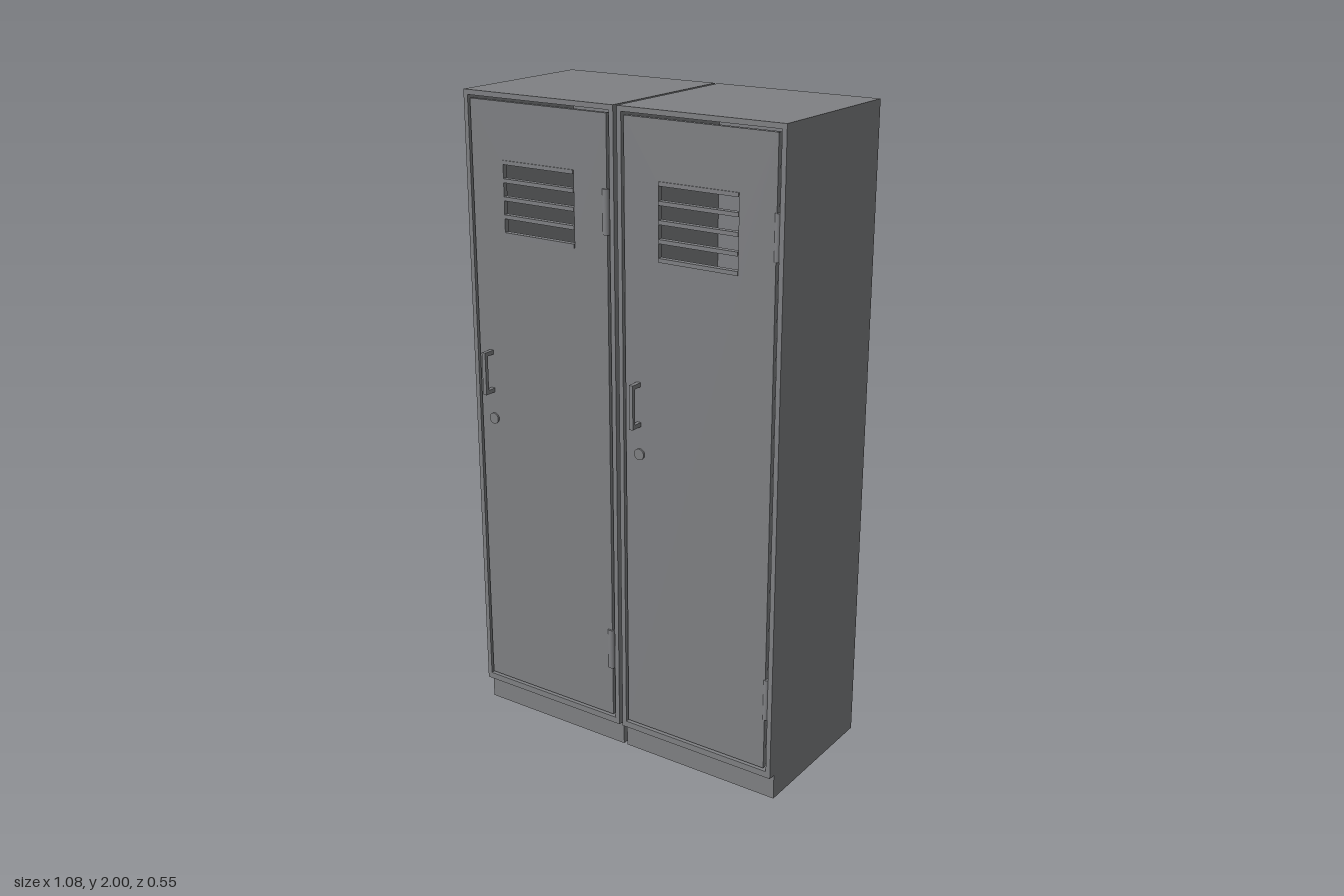
import * as THREE from 'three';

export function createModel() {
  const steel = new THREE.MeshStandardMaterial({ color: 0x808184 });
  steel.name = 'grey steel';

  const W = 0.534, BACK = -0.276, FRONT = 0.236, WALL = 0.0145;

  function add(parent, name, geometry) {
    const mesh = new THREE.Mesh(geometry, steel);
    mesh.name = name;
    parent.add(mesh);
    return mesh;
  }

  // Box given by its limits on each axis
  function box(parent, name, x0, x1, y0, y1, z0, z1) {
    const mesh = add(parent, name, new THREE.BoxGeometry(x1 - x0, y1 - y0, z1 - z0));
    mesh.position.set((x0 + x1) / 2, (y0 + y1) / 2, (z0 + z1) / 2);
    return mesh;
  }

  function rect(Type, x0, x1, y0, y1) {
    return new Type([[x0, y0], [x1, y0], [x1, y1], [x0, y1]].map(p => new THREE.Vector2(...p)));
  }

  // Upright sheet with holes whose outer face lies at FRONT
  function sheet(parent, name, shape, depth) {
    const mesh = add(parent, name, new THREE.ExtrudeGeometry(shape, { depth, bevelEnabled: false }));
    mesh.position.z = FRONT - depth;
  }

  function createLocker(name, hingeX, hingeRadius, hingeZ) {
    const locker = new THREE.Group();
    locker.name = name;
    const h = W / 2, inner = h - WALL, wallFront = FRONT - 0.02;

    // Hollow cabinet on a recessed plinth
    box(locker, 'plinth', -h, h, 0, 0.08, BACK, 0.212);
    box(locker, 'floor', -h, h, 0.08, 0.1, BACK, wallFront);
    box(locker, 'roof', -h, h, 1.985, 2, BACK, wallFront);
    box(locker, 'backPanel', -inner, inner, 0.1, 1.985, BACK, BACK + WALL);
    for (const s of [-1, 1]) {
      const x = s * (h - WALL / 2);
      box(locker, 'sidePanel', x - WALL / 2, x + WALL / 2, 0.1, 1.985, BACK, wallFront);
    }

    // Front frame around the door
    const frame = rect(THREE.Shape, -h, h, 0.08, 2);
    frame.holes.push(rect(THREE.Path, -inner, inner, 0.1, 1.985));
    sheet(locker, 'doorFrame', frame, 0.02);

    // Door with four ventilation slots
    const door = rect(THREE.Shape, -inner + 0.009, inner - 0.009, 0.109, 1.976);
    for (let i = 0; i < 4; i++) {
      const y = 1.596 + i * 0.053;
      door.holes.push(rect(THREE.Path, -0.128, 0.128, y, y + 0.041));
    }
    sheet(locker, 'door', door, 0.015);

    // Thin lips between the slots
    for (let i = 0; i < 5; i++) {
      const y = 1.584 + i * 0.053;
      box(locker, 'ventLip', -0.128, 0.128, y, y + 0.012, FRONT - 0.005, FRONT + 0.003);
    }

    // Pull handle: two stems and a grip
    const handle = new THREE.Group();
    handle.name = 'handle';
    locker.add(handle);
    for (const y of [1.09, 1.211]) {
      box(handle, 'handleStem', -0.204, -0.191, y, y + 0.013, FRONT, 0.264);
    }
    box(handle, 'handleGrip', -0.204, -0.191, 1.09, 1.224, 0.264, 0.276);

    // Round key lock
    const lock = add(locker, 'lock', new THREE.CylinderGeometry(0.017, 0.017, 0.012, 24));
    lock.rotation.x = Math.PI / 2;
    lock.position.set(-0.195, 1.005, FRONT);

    // Hinge barrels
    for (const y of [0.337, 1.702]) {
      const hinge = add(locker, 'hinge', new THREE.CylinderGeometry(hingeRadius, hingeRadius, 0.13, 16));
      hinge.position.set(hingeX, y, hingeZ);
    }
    return locker;
  }

  const model = new THREE.Group();
  model.name = 'lockerPair';
  const right = createLocker('rightLocker', 0.238, 0.012, 0.23);
  right.position.x = -0.273;
  const left = createLocker('leftLocker', 0.245, 0.01, 0.229);
  left.position.x = 0.273;
  model.add(right, left);
  return model;
}
